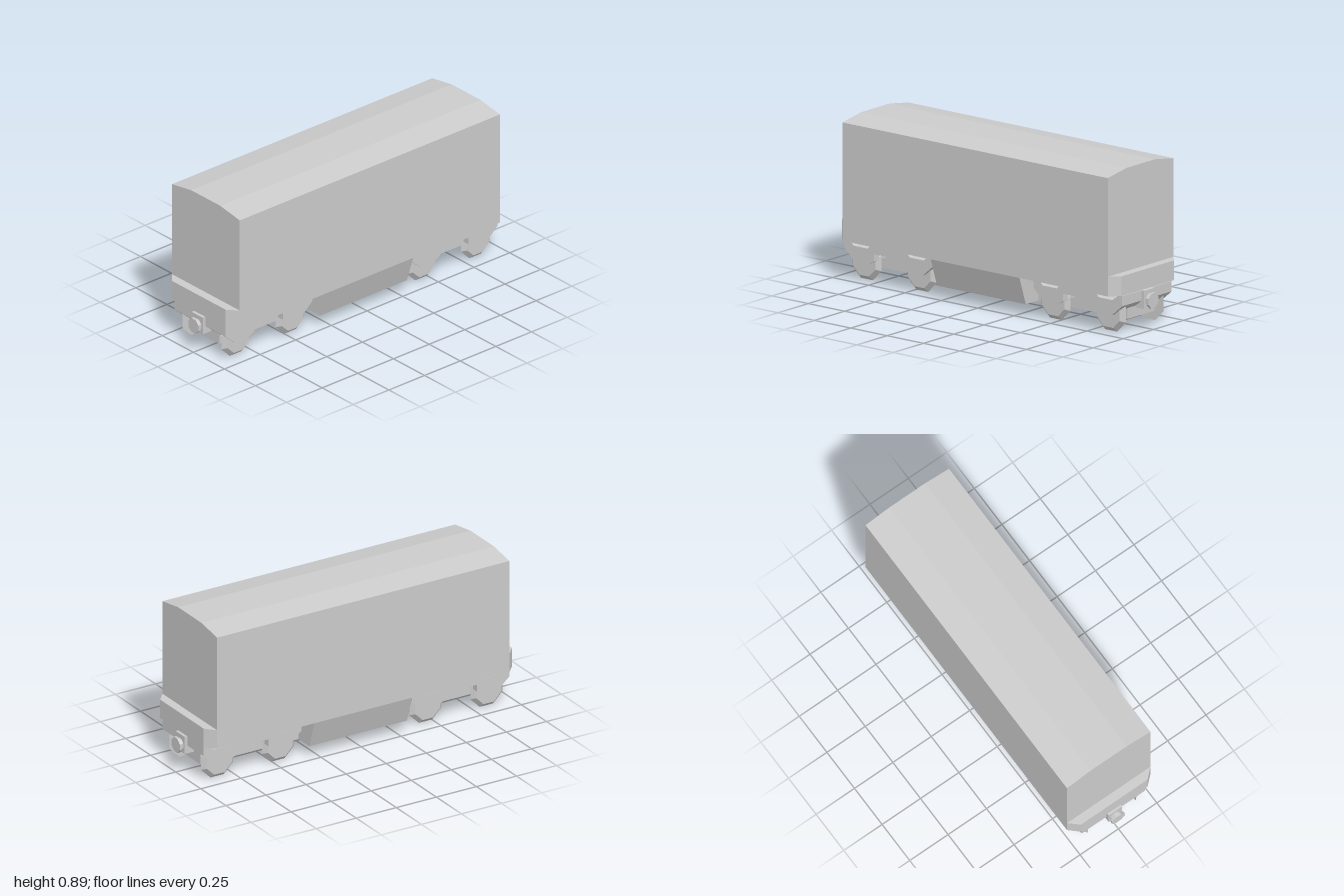
import * as THREE from 'three';

const material = new THREE.MeshStandardMaterial({ color: 0xcccccc, flatShading: true });

function part(name, geometry, parent) {
  const mesh = new THREE.Mesh(geometry, material);
  mesh.name = name;
  parent.add(mesh);
  return mesh;
}

// Prism of a 2D outline, centred along its depth
function prism(points, depth) {
  const shape = new THREE.Shape(points.map(([x, y]) => new THREE.Vector2(x, y)));
  return new THREE.ExtrudeGeometry(shape, { depth, bevelEnabled: false }).translate(0, 0, -depth / 2);
}

function box(w, h, d, x, y, z) {
  return new THREE.BoxGeometry(w, h, d).translate(x, y, z);
}

// Octagonal disc along z with flat top and bottom, sized by its apothem
function octagon(front, back, depth) {
  const k = 1 / Math.cos(Math.PI / 8);
  return new THREE.CylinderGeometry(front * k, back * k, depth, 8)
    .rotateY(Math.PI / 8).rotateX(Math.PI / 2);
}

function makeBogie() {
  const bogie = new THREE.Group();
  bogie.name = 'bogie';

  // Frame outline (z, y) for one half, relative to the bogie centre
  const half = [
    [0.1, 0.16], [0.1, 0.12], [0.14, 0.1], [0.235, 0.1], [0.305, 0.16], [0.305, 0.215],
    [0.275, 0.215], [0.24, 0.183], [0.145, 0.183], [0.115, 0.215],
  ];
  const outline = [...half, ...half.map(([z, y]) => [-z, y]).reverse()];
  part('bogieFrame', prism(outline, 0.41).rotateY(-Math.PI / 2), bogie);

  // Tapered wheels, larger on the inside
  for (const side of [-1, 1]) {
    for (const z of [-0.19, 0.19]) {
      const wheel = part('wheel', octagon(0.077, 0.1, 0.024), bogie);
      wheel.rotation.y = side * Math.PI / 2;
      wheel.position.set(side * 0.168, 0.1, z);
    }
  }
  return bogie;
}

function makeEnd() {
  const end = new THREE.Group();
  end.name = 'carEnd';

  // End sill with chamfered corners (plan outline, z forward)
  const sill = prism([[-0.272, -0.9], [-0.272, -0.912], [-0.217, -0.962],
    [0.217, -0.962], [0.272, -0.912], [0.272, -0.9]], 0.108);
  part('endSill', sill.rotateX(-Math.PI / 2).translate(0, 0.274, 0), end);

  const bogie = makeBogie();
  bogie.position.z = 0.65;
  end.add(bogie);

  // Coupler
  part('couplerBox', box(0.088, 0.1, 0.085, 0, 0.165, 0.93), end);
  part('couplerShank', octagon(0.032, 0.032, 0.02).translate(0, 0.158, 0.978), end);
  part('couplerHead', octagon(0.041, 0.041, 0.015).translate(0, 0.158, 0.9925), end);
  return end;
}

export function createModel() {
  const model = new THREE.Group();
  model.name = 'railCar';

  // Body with faceted roof
  part('body', prism([[-0.272, 0.22], [0.272, 0.22], [0.272, 0.867], [0.117, 0.892],
    [-0.117, 0.892], [-0.272, 0.867]], 1.824), model);

  // Sloped skirt between the bogies and the spine under the whole car
  part('underbody', prism([[-0.22, 0.066], [0.22, 0.066], [0.272, 0.22], [-0.272, 0.22]], 0.61), model);
  part('centreSpine', box(0.226, 0.154, 1.83, 0, 0.143, 0), model);

  const front = makeEnd();
  const back = makeEnd();
  back.rotation.y = Math.PI;
  model.add(front, back);
  return model;
}
